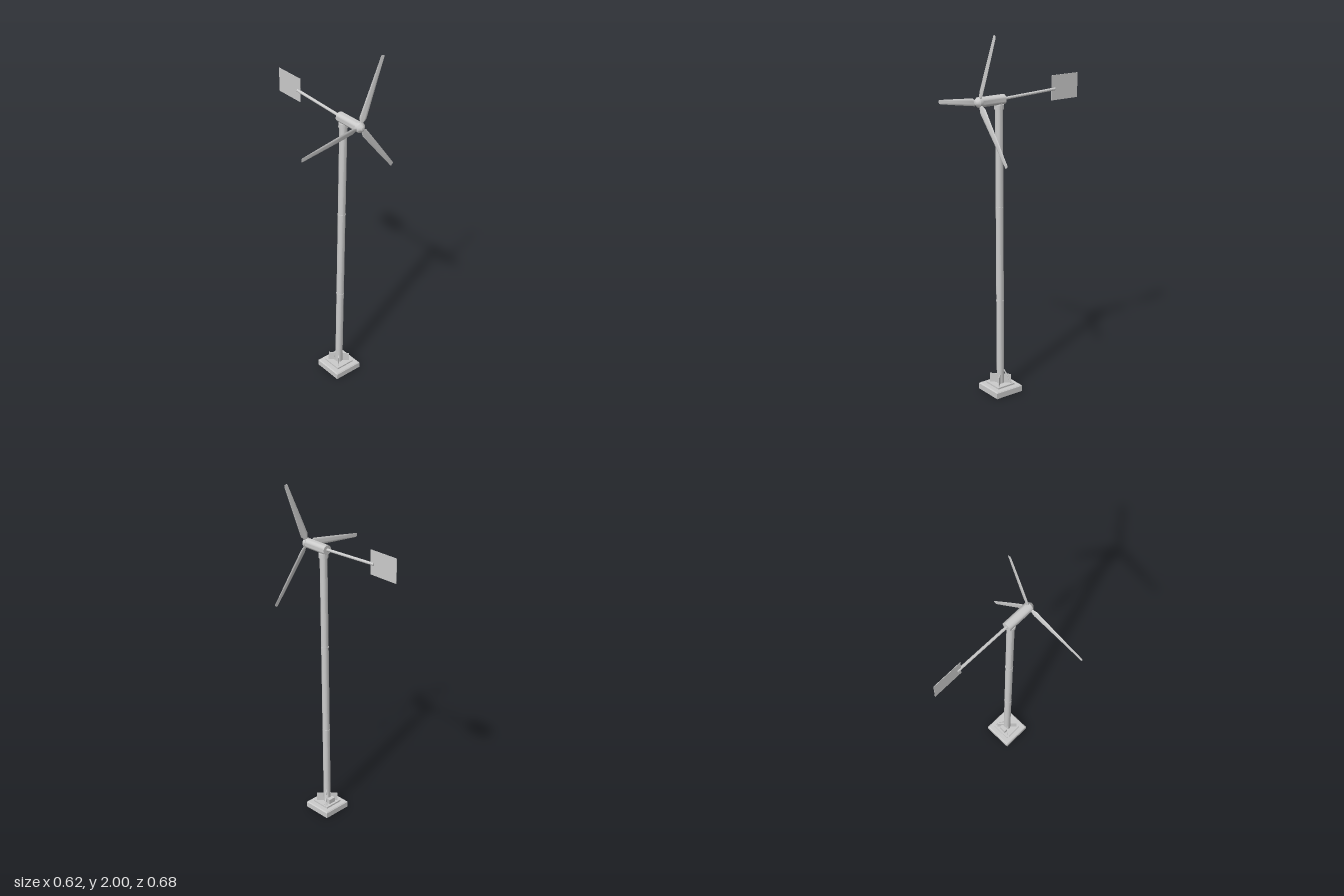
import * as THREE from 'three';
import { toCreasedNormals } from 'three/addons/utils/BufferGeometryUtils.js';

const X = 0.066, Z = 0.187, HUB_Y = 1.645;
const grey = new THREE.MeshStandardMaterial({ color: 0xcccccc });
const thin = new THREE.MeshStandardMaterial({ color: 0xcccccc, side: THREE.DoubleSide });

function add(parent, name, geometry, x = 0, y = 0, z = 0, material = grey) {
  const mesh = new THREE.Mesh(geometry, material);
  mesh.name = name;
  mesh.position.set(x, y, z);
  parent.add(mesh);
  return mesh;
}

const cylinder = (top, bottom, height, sides = 16) =>
  toCreasedNormals(new THREE.CylinderGeometry(top, bottom, height, sides), 0.7);

// Square slab, optionally narrower at the top
const slab = (topWidth, bottomWidth, height) =>
  toCreasedNormals(new THREE.CylinderGeometry(topWidth / Math.SQRT2, bottomWidth / Math.SQRT2, height, 4)
    .rotateY(Math.PI / 4), 0.3);

// Round bar between two points
function bar(parent, name, a, b, radius) {
  const from = new THREE.Vector3(...a), to = new THREE.Vector3(...b);
  const dir = to.clone().sub(from);
  const mesh = add(parent, name, cylinder(radius, radius, dir.length(), 10));
  mesh.position.copy(from).add(to).multiplyScalar(0.5);
  mesh.quaternion.setFromUnitVectors(new THREE.Vector3(0, 1, 0), dir.normalize());
}

// Blade lofted along +y from lens sections: [radius, chord, thickness, pitch]
function bladeGeometry() {
  const stations = [
    [0.012, 0.016, 0.014, 0.3], [0.03, 0.022, 0.012, 0.28], [0.05, 0.043, 0.01, 0.24],
    [0.16, 0.037, 0.008, 0.16], [0.27, 0.03, 0.006, 0.1], [0.375, 0.023, 0.004, 0.05], [0.381, 0.018, 0.003, 0.05],
  ];
  const n = 10, points = [], index = [];
  stations.forEach(([r, chord, thick, pitch], s) => {
    for (let i = 0; i < n; i++) {
      const a = (i / n) * Math.PI * 2;
      const u = Math.cos(a) * chord / 2, v = Math.sin(a) * thick / 2;
      points.push(u * Math.cos(pitch) - v * Math.sin(pitch), r, u * Math.sin(pitch) + v * Math.cos(pitch));
      if (s === 0) continue;
      const j = (i + 1) % n, p = (s - 1) * n, q = s * n;
      index.push(p + i, q + i, p + j, p + j, q + i, q + j);
    }
  });
  const last = (stations.length - 1) * n;
  for (let i = 1; i < n - 1; i++) {
    index.push(0, i, i + 1);
    index.push(last, last + i + 1, last + i);
  }
  const g = new THREE.BufferGeometry();
  g.setAttribute('position', new THREE.Float32BufferAttribute(points, 3));
  g.setIndex(index);
  return toCreasedNormals(g, 0.9);
}

function buildBase() {
  const base = new THREE.Group();
  base.name = 'base';
  base.position.set(X, 0, Z);
  add(base, 'foundation', slab(0.172, 0.172, 0.032), 0, 0.016);
  add(base, 'foundationBevel', slab(0.162, 0.172, 0.006), 0, 0.035);
  add(base, 'basePlate', slab(0.112, 0.112, 0.009), 0, 0.0425);
  add(base, 'footBox', new THREE.BoxGeometry(0.043, 0.03, 0.025), 0, 0.06, -0.0305);
  // Diagonal gusset plates
  for (let i = 0; i < 2; i++) {
    add(base, 'gusset', new THREE.BoxGeometry(0.12, 0.054, 0.004), 0, 0.072)
      .rotation.y = Math.PI / 4 + i * Math.PI / 2;
  }
  bar(base, 'brace', [0.012, 0.135, -0.008], [0.055, 0.045, -0.04], 0.004);
  return base;
}

function buildTower() {
  const tower = new THREE.Group();
  tower.name = 'tower';
  tower.position.set(X, 0, Z);
  add(tower, 'mast', cylinder(0.021, 0.021, 1.56), 0, 0.825);
  for (const y of [0.535, 1.065]) add(tower, 'joint', cylinder(0.0225, 0.0225, 0.007), 0, y);
  add(tower, 'yawCollar', cylinder(0.026, 0.026, 0.025), 0, 1.608);
  add(tower, 'neck', cylinder(0.02, 0.02, 0.03), 0, 1.625);
  return tower;
}

function buildHead() {
  const head = new THREE.Group();
  head.name = 'head';
  head.position.set(X, HUB_Y, 0);
  add(head, 'nacelle', cylinder(0.027, 0.027, 0.148, 20).rotateX(Math.PI / 2), 0, 0, 0.231);
  bar(head, 'tailBoom', [0, 0.002, 0.16], [0, 0.017, -0.185], 0.008);
  add(head, 'tailVane', new THREE.BoxGeometry(0.0025, 0.136, 0.18), 0, 0.024, -0.251, thin);

  // Rotor: spinner and three blades
  const rotor = new THREE.Group();
  rotor.name = 'rotor';
  head.add(rotor);
  const profile = [[0, 0.303], [0.028, 0.303], [0.028, 0.32], [0.021, 0.328], [0.01, 0.338], [0, 0.341]]
    .map(([r, z]) => new THREE.Vector2(r, z));
  add(rotor, 'spinner', toCreasedNormals(new THREE.LatheGeometry(profile, 12).rotateX(Math.PI / 2), 0.6));
  const blade = bladeGeometry();
  for (let i = 0; i < 3; i++) {
    add(rotor, 'blade', blade, 0, 0, 0.313).rotation.z = THREE.MathUtils.degToRad(68.3 - 90 + i * 120);
  }
  return head;
}

export function createModel() {
  const model = new THREE.Group();
  model.name = 'windTurbine';
  model.add(buildBase(), buildTower(), buildHead());
  return model;
}
